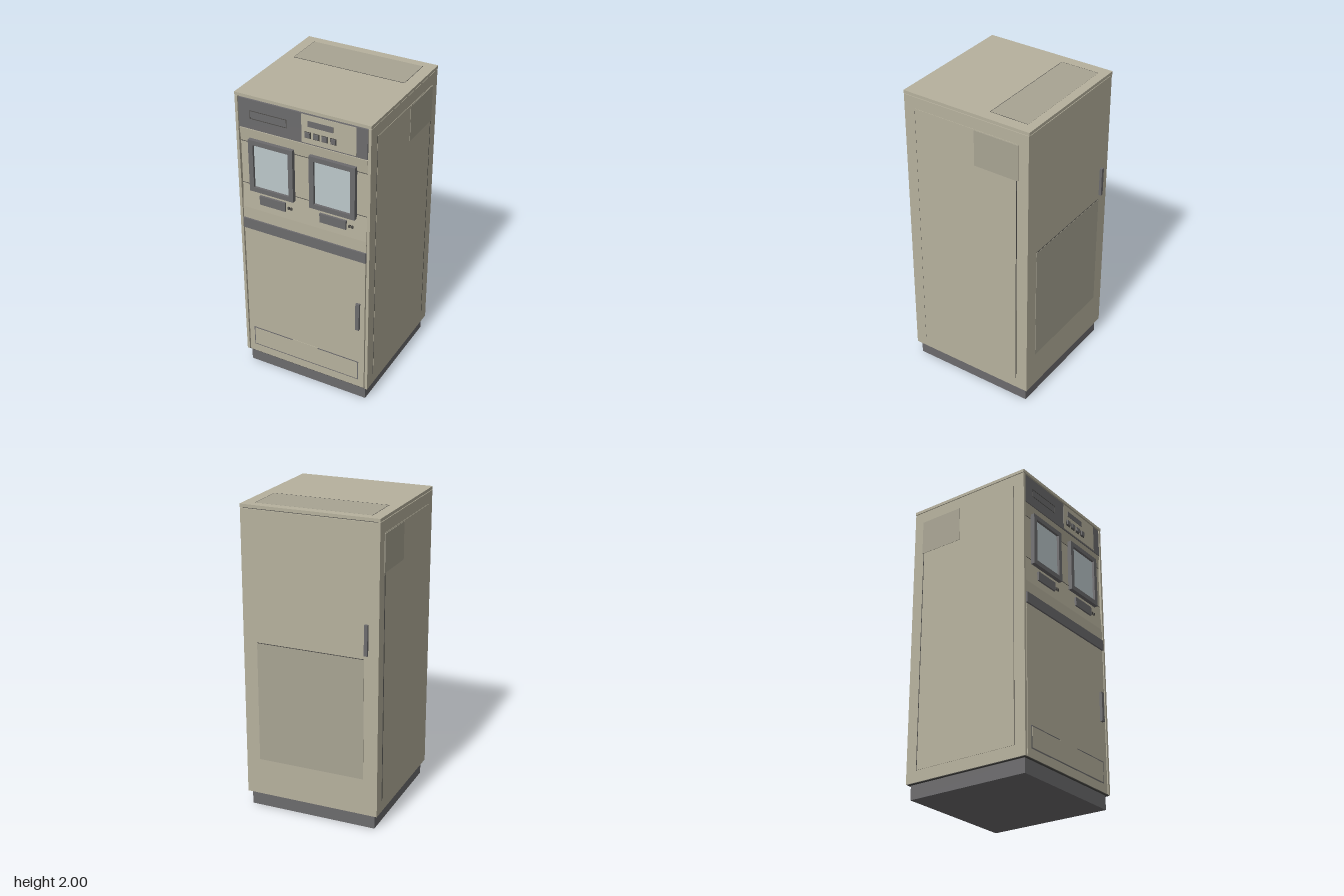
import * as THREE from 'three';

const mat = (name, color, side = THREE.FrontSide) => {
  const m = new THREE.MeshStandardMaterial({ color, side });
  m.name = name;
  return m;
};

export function createModel() {
  const beige = mat('beige paint', 0xb6b19d);
  const vent = mat('vent beige', 0xa8a493);
  const grey = mat('grey trim', 0x6c6b6d);
  const dark = mat('dark seam', 0x4b4a47);
  const glass = mat('window glass', 0xbcc8ca);
  const root = new THREE.Group();
  root.name = 'cabinet';

  // Box given by its limits on each axis
  const box = (name, m, x0, x1, y0, y1, z0, z1, parent = root) => {
    const mesh = new THREE.Mesh(new THREE.BoxGeometry(x1 - x0, y1 - y0, z1 - z0), m);
    mesh.position.set((x0 + x1) / 2, (y0 + y1) / 2, (z0 + z1) / 2);
    mesh.name = name;
    parent.add(mesh);
    return mesh;
  };

  // Thin rectangular outline on a front-facing surface
  const outline = (name, m, x0, x1, y0, y1, z0, z1, w) => {
    const g = new THREE.Group();
    g.name = name;
    box('outlineBottom', m, x0, x1, y0, y0 + w, z0, z1, g);
    box('outlineTop', m, x0, x1, y1 - w, y1, z0, z1, g);
    box('outlineLeft', m, x0, x0 + w, y0 + w, y1 - w, z0, z1, g);
    box('outlineRight', m, x1 - w, x1, y0 + w, y1 - w, z0, z1, g);
    root.add(g);
  };

  // Plinth, dark inner core and lid
  box('plinth', grey, -0.425, 0.425, 0, 0.095, -0.42, 0.42);
  box('core', dark, -0.44, 0.44, 0.094, 1.975, -0.43, 0.405);
  box('bottomPan', dark, -0.445, 0.445, 0.092, 0.1, -0.435, 0.435);
  box('lid', beige, -0.449, 0.449, 1.979, 1.999, -0.443, 0.441);
  box('lidVent', vent, -0.378, 0.375, 1.99, 2, -0.385, -0.127);
  box('lidVentSeam', dark, -0.378, 0.375, 1.99, 2.0003, -0.129, -0.126);
  for (const x of [-0.378, 0.375]) box('lidVentEdge', dark, x - 0.001, x + 0.001, 1.99, 2.0003, -0.385, -0.127);

  // Side walls with raised panel, seams and upper rear vent
  for (const s of [-1, 1]) {
    const side = new THREE.Group();
    side.name = s > 0 ? 'leftSide' : 'rightSide';
    root.add(side);
    const slab = (name, m, a, b, y0, y1, z0, z1) =>
      box(name, m, Math.min(s * a, s * b), Math.max(s * a, s * b), y0, y1, z0, z1, side);
    slab('wall', beige, 0.43, 0.448, 0.095, 1.975, -0.44, 0.44);
    slab('sidePanel', beige, 0.44, 0.4505, 0.17, 1.9, -0.358, 0.362);
    slab('rearSeam', dark, 0.44, 0.451, 0.17, 1.66, -0.362, -0.357);
    slab('frontSeam', dark, 0.44, 0.4495, 0.17, 1.9, 0.361, 0.364);
    slab('sideVent', vent, 0.44, 0.453, 1.66, 1.895, -0.37, -0.065);
  }

  // Rear door, lower vent and handle
  box('rearDoor', beige, -0.43, 0.43, 0.095, 1.972, -0.44, -0.42);
  box('rearVent', vent, -0.355, 0.355, 0.34, 1.13, -0.443, -0.43);
  box('rearVentSeam', dark, -0.355, 0.355, 1.13, 1.134, -0.4415, -0.43);
  box('rearHandle', grey, -0.381, -0.359, 1.16, 1.355, -0.457, -0.435);

  // Control strip at the top of the front
  box('headerPanel', grey, -0.425, 0.425, 1.777, 1.97, 0.4, 0.438);
  outline('headerSlot', dark, -0.35, -0.1, 1.845, 1.9, 0.43, 0.4395, 0.004);
  box('controlPanel', beige, 0, 0.355, 1.785, 1.967, 0.43, 0.441);
  box('display', grey, 0.042, 0.208, 1.895, 1.932, 0.43, 0.444);
  for (let i = 0; i < 4; i++) {
    const x = 0.04 + i * 0.056;
    box('buttonBase', dark, x - 0.018, x + 0.022, 1.82, 1.86, 0.43, 0.444);
    box('button', grey, x - 0.013, x + 0.018, 1.827, 1.857, 0.44, 0.452);
  }

  // Drive bay fascia: shallow recess swept across the front
  const fascia = new THREE.Shape([
    [-0.39, 1.142], [-0.437, 1.142], [-0.437, 1.22], [-0.428, 1.388], [-0.428, 1.682], [-0.437, 1.772], [-0.39, 1.772],
  ].map(([x, y]) => new THREE.Vector2(x, y)));
  const bay = new THREE.Mesh(new THREE.ExtrudeGeometry(fascia, { depth: 0.85, bevelEnabled: false }), beige);
  bay.name = 'driveFascia';
  bay.rotation.y = Math.PI / 2;
  // The sweep runs along +x, and profile -x becomes +z
  bay.position.x = -0.425;
  root.add(bay);
  for (const y of [1.39, 1.68]) box('fasciaSeam', dark, -0.425, 0.425, y - 0.002, y + 0.002, 0.41, 0.4287);

  // Two framed drive windows with their slots and lamps
  for (const [x0, x1, sx] of [[-0.36, -0.058, -0.3], [0.052, 0.356, 0.114]]) {
    const shape = new THREE.Shape();
    shape.moveTo(x0, 1.36).lineTo(x1, 1.36).lineTo(x1, 1.712).lineTo(x0, 1.712).closePath();
    const hole = new THREE.Path();
    hole.moveTo(x0 + 0.031, 1.391).lineTo(x0 + 0.031, 1.681).lineTo(x1 - 0.031, 1.681).lineTo(x1 - 0.031, 1.391).closePath();
    shape.holes.push(hole);
    const frame = new THREE.Mesh(new THREE.ExtrudeGeometry(shape, { depth: 0.036, bevelEnabled: false }), grey);
    frame.name = 'windowFrame';
    frame.position.z = 0.42;
    root.add(frame);
    box('windowGlass', glass, x0 + 0.03, x1 - 0.03, 1.39, 1.682, 0.425, 0.44);
    box('driveSlot', grey, sx, sx + 0.178, 1.27, 1.33, 0.42, 0.445);
    for (const d of [0.193, 0.212]) box('lamp', dark, sx + d, sx + d + 0.012, 1.29, 1.306, 0.42, 0.442);
  }

  // Grey band and the large lower door
  box('middleBand', grey, -0.425, 0.425, 1.07, 1.14, 0.4, 0.445);
  box('frontDoor', beige, -0.422, 0.422, 0.097, 1.066, 0.4, 0.438);
  box('doorHandle', grey, 0.366, 0.391, 0.56, 0.757, 0.43, 0.456);
  outline('kickPanelSeam', grey, -0.386, 0.382, 0.153, 0.296, 0.43, 0.4395, 0.007);
  box('kickPanel', beige, -0.379, 0.375, 0.16, 0.289, 0.43, 0.441);
  box('kickPanelPull', beige, -0.095, 0.09, 0.285, 0.298, 0.43, 0.441);

  return root;
}
